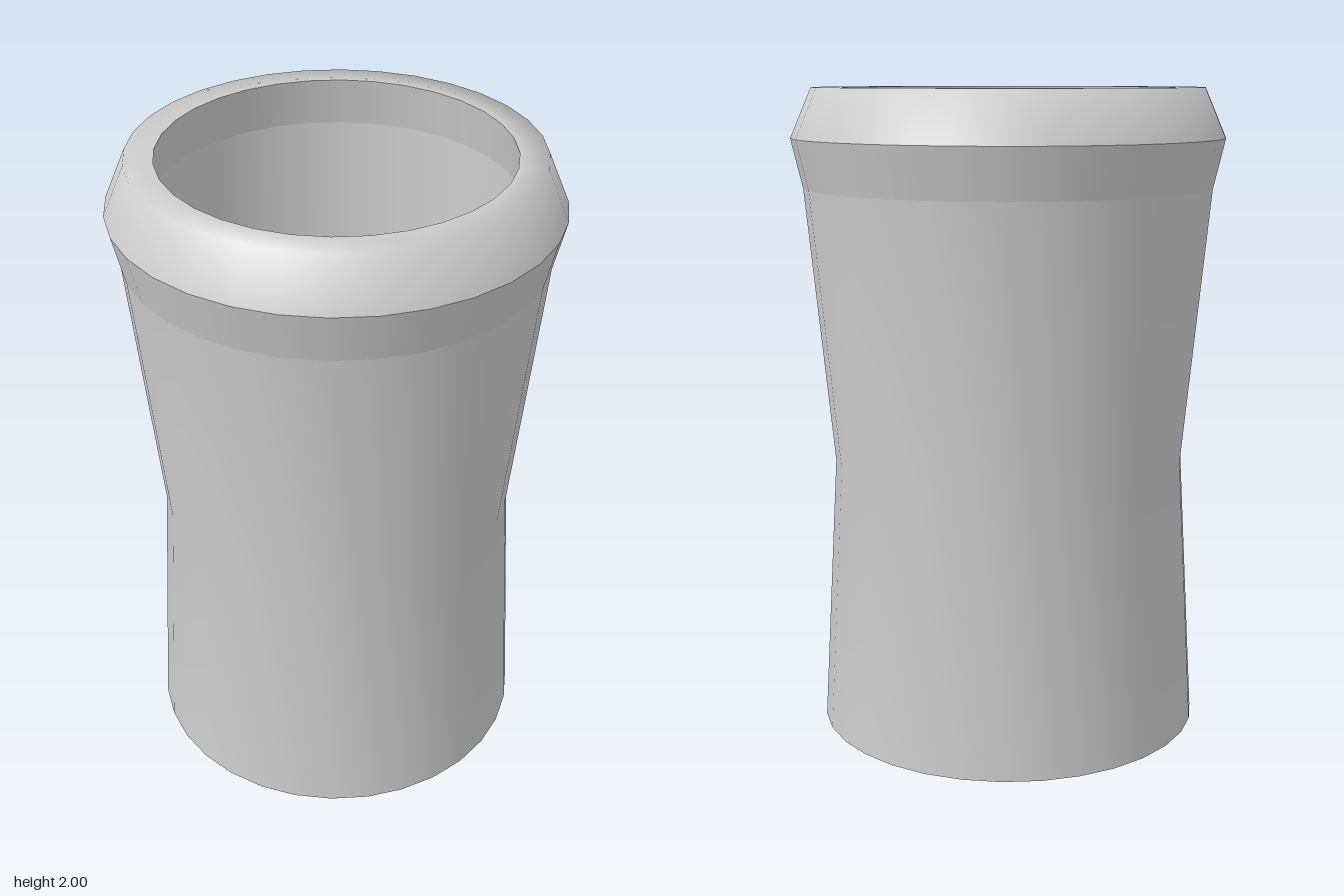
import * as THREE from 'three';

const SIDES = 32;

export function createModel() {
  const group = new THREE.Group();
  group.name = 'cup';
  const material = new THREE.MeshStandardMaterial({ color: 0xcccccc });

  // Each section is lathed on its own, so normals are smooth within it and split between sections.
  const addSection = (name, profile) => {
    const points = profile.map(([r, y]) => new THREE.Vector2(r, y));
    const mesh = new THREE.Mesh(new THREE.LatheGeometry(points, SIDES), material);
    mesh.name = name;
    group.add(mesh);
  };

  // Recessed underside
  addSection('baseCentre', [[0, 0.05], [0.32, 0.05]]);
  addSection('baseRing', [[0.32, 0.05], [0.6, 0]]);

  // Waisted outer wall and the flare below the lip
  addSection('outerWall', [[0.6, 0], [0.55, 0.85], [0.63, 1.7]]);
  addSection('collar', [[0.63, 1.7], [0.665, 1.85]]);

  // Softly shaded lip, rolling over to the opening
  addSection('lip', [[0.665, 1.85], [0.6, 2], [0.515, 2]]);

  // Undercut throat, inner wall and gently dished floor
  addSection('throat', [[0.515, 2], [0.54, 1.85]]);
  addSection('innerWall', [[0.54, 1.85], [0.52, 0.85], [0.53, 0.15]]);
  addSection('floorRing', [[0.53, 0.15], [0.135, 0.11]]);
  addSection('floorCentre', [[0.135, 0.11], [0, 0.11]]);

  return group;
}
